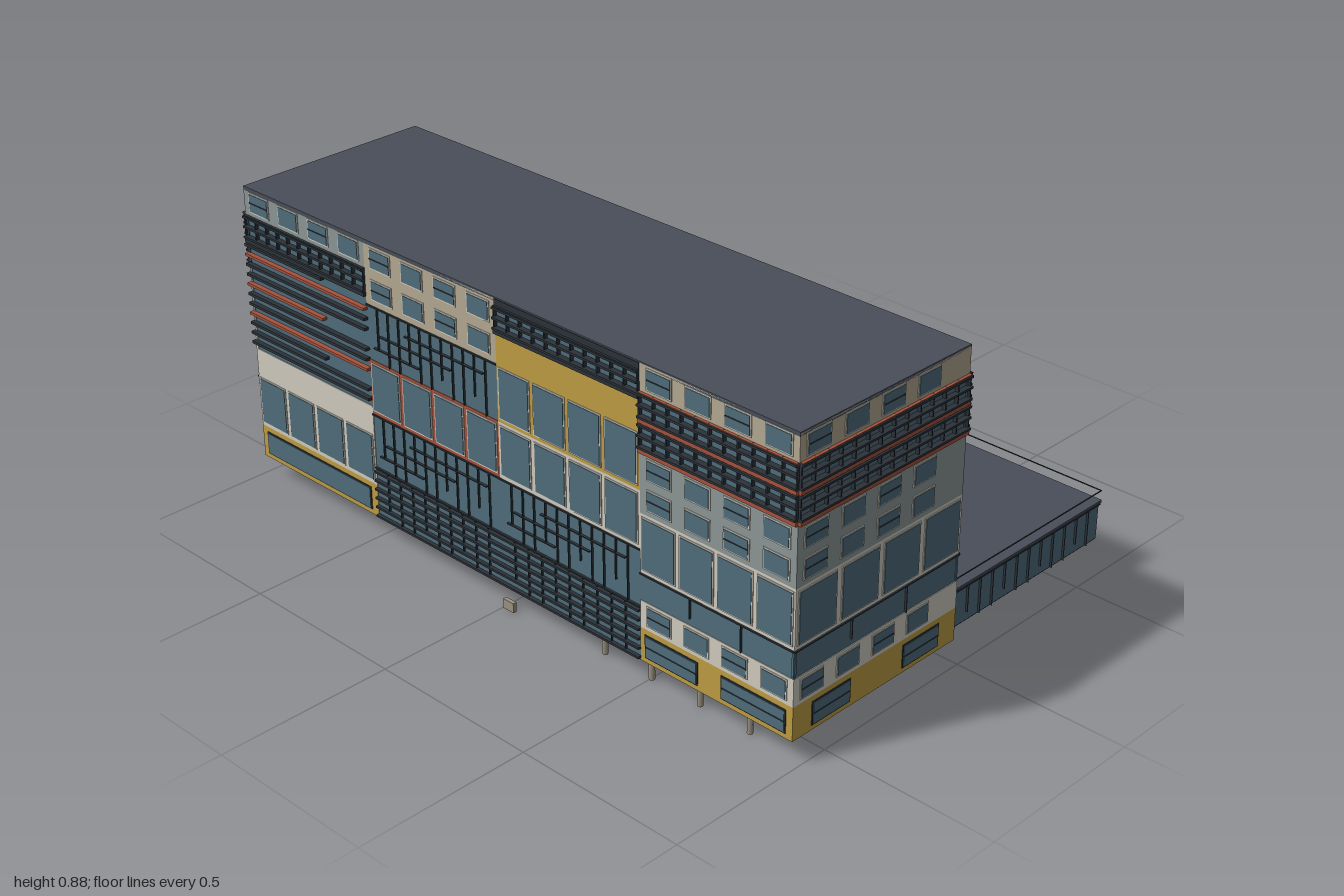
import * as THREE from 'three';

const C = {
  glass: 0x4f6d7c, cream: 0xd0ccc0, grey: 0x8d9896, tan: 0xb3a891, gold: 0xbd9c43, red: 0xa8523c,
  dark: 0x2b3238, roof: 0x494e59, blue: 0x35457a, post: 0x9a9282, under: 0x605c55, soffit: 0x2a3a42,
};
const mats = {};
const mat = (c) => (mats[c] ??= new THREE.MeshStandardMaterial({ color: C[c] }));

// Box given by its extents on each axis
function box(parent, name, color, x0, x1, y0, y1, z0, z1) {
  const m = new THREE.Mesh(new THREE.BoxGeometry(x1 - x0, y1 - y0, z1 - z0), mat(color));
  m.position.set((x0 + x1) / 2, (y0 + y1) / 2, (z0 + z1) / 2);
  m.name = name;
  parent.add(m);
  return m;
}

// Band builders: local x runs along the facade, z points outward, w is the bay width
const WALL = 0.008;
function framedWindow(g, x0, x1, y0, y1, trim, bar) {
  const t = 0.004;
  box(g, 'windowFrame', trim, x0 - t, x1 + t, y0 - t, y1 + t, 0, WALL + 0.002);
  box(g, 'windowPane', 'glass', x0, x1, y0, y1, 0, WALL + 0.0035);
  if (bar) box(g, 'windowBar', 'dark', x0, x1, (y0 + y1) / 2 - 0.0015, (y0 + y1) / 2 + 0.0015, 0, WALL + 0.005);
}

// Rows of four small windows
function small(g, w, y0, y1, wall, rows = 1) {
  box(g, 'wall', wall, -w / 2, w / 2, y0, y1, 0, WALL);
  const h = (y1 - y0) / rows, step = Math.min(w / 4, 0.128);
  for (let r = 0; r < rows; r++)
    for (let i = 0; i < 4; i++) {
      const x = -w / 2 + 0.063 + i * step, y = y0 + (r + 0.52) * h;
      framedWindow(g, x - 0.037, x + 0.037, y - 0.025, y + 0.025, 'cream', i % 2 === 0);
    }
}

// Four tall windows with a margin of wall above
function large(g, w, y0, y1, wall, head = 0.012, trim = wall) {
  box(g, 'wall', wall, -w / 2, w / 2, y0, y1, 0, WALL);
  const step = w / 4;
  for (let i = 0; i < 4; i++) {
    const x = -w / 2 + (i + 0.5) * step;
    framedWindow(g, x - step * 0.42, x + step * 0.42, y0 + 0.014, y1 - head, trim);
  }
}

// Wall with wide windows at given fractions of the width
function wide(g, w, y0, y1, wall, spans) {
  box(g, 'wall', wall, -w / 2, w / 2, y0, y1, 0, WALL);
  for (const [a, b] of spans)
    framedWindow(g, (a - 0.5) * w, (b - 0.5) * w, y0 + 0.018, y1 - 0.019, 'dark', spans.length > 1);
}

// Glazing with n vertical mullions
function curtain(g, w, y0, y1, n, rails = []) {
  box(g, 'glazing', 'glass', -w / 2, w / 2, y0, y1, 0, 0.006);
  for (let i = 1; i < n; i++) {
    const x = -w / 2 + (i * w) / n;
    const low = i % 3 === 1 ? (y1 - y0) * 0.25 : 0;
    box(g, 'mullion', 'dark', x - 0.0012, x + 0.0012, y0 + low, y1, 0, 0.012);
  }
  for (const [a, b, f] of rails) {
    const y = y0 + (y1 - y0) * f;
    box(g, 'transom', 'dark', (a - 0.5) * w, (b - 0.5) * w, y - 0.0015, y + 0.0015, 0, 0.013);
  }
  box(g, 'headRail', 'dark', -w / 2, w / 2, y1 - 0.004, y1, 0, 0.012);
}

// Glazing with dark balustrades and red slab edges
function balconies(g, w, y0, y1, floors, slab = 'red') {
  const h = (y1 - y0) / floors;
  for (let f = 0; f < floors; f++) {
    const y = y0 + f * h, n = Math.round(w / 0.045);
    box(g, 'glazing', 'glass', -w / 2, w / 2, y, y + h, 0, 0.004);
    box(g, 'slabEdge', slab, -w / 2, w / 2, y, y + 0.011, 0, 0.016);
    for (const k of [0.2, 0.58, 0.94])
      box(g, 'balconyRail', 'dark', -w / 2, w / 2, y + h * k - 0.003, y + h * k + 0.003, 0, 0.02);
    for (let i = 0; i <= n; i++) {
      const x = -w / 2 + 0.002 + (i * (w - 0.004)) / n;
      box(g, 'balconyPost', 'dark', x - 0.0018, x + 0.0018, y + 0.011, y + h, 0, 0.014);
    }
  }
  box(g, 'slabEdge', slab, -w / 2, w / 2, y1 - 0.006, y1, 0, 0.016);
}

// Glazing shaded by horizontal louvres, some of them red
function louvres(g, w, y0, y1, n) {
  box(g, 'glazing', 'glass', -w / 2, w / 2, y0, y1, 0, 0.006);
  for (let i = 0; i < n; i++) {
    const y = y0 + ((i + 0.8) * (y1 - y0)) / n, long = i % 4 !== 2;
    const red = i >= n * 0.2 && i % 3 === 0;
    box(g, 'louvre', red ? 'red' : 'dark', -w / 2, long ? w / 2 : w * 0.15, y - 0.004, y + 0.004, 0, 0.02);
  }
}

// Ground floor glazing with close horizontal rails
function railed(g, w, y0, y1) {
  curtain(g, w, y0, y1, 10);
  for (let i = 0; i < 6; i++) {
    const y = y0 + 0.008 + (i * (y1 - y0 - 0.02)) / 5;
    box(g, 'rail', 'dark', -w / 2, w / 2, y - 0.003, y + 0.003, 0, 0.017);
  }
}

// Bay designs
const cornerBay = (spans) => (g, w) => {
  wide(g, w, 0.065, 0.16, 'gold', spans);
  small(g, w, 0.16, 0.237, 'cream');
  curtain(g, w, 0.237, 0.315, 3);
  large(g, w, 0.315, 0.48, 'cream');
  small(g, w, 0.48, 0.645, 'grey', 2);
  balconies(g, w, 0.645, 0.805, 2);
  small(g, w, 0.805, 0.877, 'tan');
};
const lines = [[0.1, 0.65, 0.5], [0.3, 0.9, 0.72], [0.05, 0.4, 0.25]];
const louvreBay = (top, solid) => (g, w) => {
  wide(g, w, 0.065, 0.163, 'gold', [[0.05, 0.94]]);
  if (solid) large(g, w, 0.163, 0.4, 'cream', 0.09);
  else curtain(g, w, 0.163, 0.4, 9, lines);
  louvres(g, w, 0.4, 0.72, 11);
  balconies(g, w, 0.72, 0.8, 1, 'dark');
  small(g, w, 0.8, 0.877, top);
};
const tanBay = (g, w) => {
  railed(g, w, 0.065, 0.22);
  curtain(g, w, 0.22, 0.38, 12, lines);
  large(g, w, 0.38, 0.54, 'red', 0.012, 'cream');
  curtain(g, w, 0.54, 0.7, 12, lines);
  small(g, w, 0.7, 0.877, 'tan', 2);
};
const goldBay = (g, w) => {
  railed(g, w, 0.065, 0.22);
  curtain(g, w, 0.22, 0.38, 12, lines);
  large(g, w, 0.38, 0.54, 'cream');
  large(g, w, 0.54, 0.785, 'gold', 0.095, 'cream');
  balconies(g, w, 0.785, 0.86, 1, 'dark');
  box(g, 'fascia', 'dark', -w / 2, w / 2, 0.86, 0.877, 0, 0.01);
};
const blueBay = (g, w) => {
  railed(g, w, 0.065, 0.22);
  large(g, w, 0.22, 0.38, 'red', 0.012, 'cream');
  curtain(g, w, 0.38, 0.54, 12, lines);
  large(g, w, 0.54, 0.79, 'blue', 0.09, 'cream');
  small(g, w, 0.79, 0.877, 'tan');
};

export function createModel() {
  const model = new THREE.Group();
  model.name = 'building';
  const X = 0.985, B = 0.4925;

  // Main block
  box(model, 'core', 'glass', -X + 0.008, X - 0.008, 0.068, 0.872, 0.008, 0.592);
  box(model, 'roof', 'roof', -X, X, 0.87, 0.881, 0, 0.6);
  box(model, 'underside', 'under', -X + 0.001, X - 0.001, 0.064, 0.068, 0.001, 0.599);

  // Facades, each bay turned to face outward
  const bay = (name, design, w, x, z, turn) => {
    const g = new THREE.Group();
    g.name = name;
    g.position.set(x, 0, z);
    g.rotation.y = turn;
    design(g, w);
    model.add(g);
  };
  const corner = cornerBay([[0.04, 0.38], [0.55, 0.95]]);
  const end = cornerBay([[0.117, 0.333], [0.667, 0.883]]);
  [louvreBay('grey', true), tanBay, goldBay, corner].forEach((d, i) =>
    bay('frontBay', d, B, (i - 1.5) * B, 0.592, 0));
  [louvreBay('tan', false), tanBay, blueBay, corner].forEach((d, i) =>
    bay('backBay', d, B, (i - 1.5) * B, 0.008, Math.PI));
  bay('leftEnd', end, 0.6, X - 0.008, 0.3, Math.PI / 2);
  bay('rightEnd', end, 0.6, -X + 0.008, 0.3, -Math.PI / 2);

  // Low rear wing
  box(model, 'wingBody', 'glass', 0.012, 0.975, 0.097, 0.206, -0.6, 0);
  box(model, 'wingRoof', 'roof', 0.008, 0.983, 0.203, 0.211, -0.607, 0);
  box(model, 'wingUnderside', 'soffit', 0.011, 0.977, 0.094, 0.098, -0.602, 0);
  const wingGlazing = (g, w) => curtain(g, w, 0.097, 0.204, Math.round(w / 0.05));
  bay('wingBack', wingGlazing, 0.965, 0.4935, -0.597, Math.PI);
  bay('wingLeft', wingGlazing, 0.6, 0.973, -0.3, Math.PI / 2);
  bay('wingRight', wingGlazing, 0.6, 0.014, -0.3, -Math.PI / 2);
  box(model, 'wingWireBack', 'dark', 0.01, 0.982, 0.2375, 0.24, -0.606, -0.6035);
  box(model, 'wingWireSide', 'dark', 0.9795, 0.982, 0.2375, 0.24, -0.606, 0);

  // Columns under the wing and the main block
  const column = (x, z, h, r) => {
    const m = new THREE.Mesh(new THREE.CylinderGeometry(r, r, h, 8), mat('post'));
    m.position.set(x, h / 2, z);
    m.name = 'column';
    model.add(m);
  };
  for (let i = 0; i < 6; i++)
    for (const z of [-0.575, -0.03]) column(0.04 + i * 0.164, z, 0.096, 0.006);
  for (let i = 0; i < 4; i++)
    for (const z of [0.03, 0.572]) column(0.34 + i * 0.163, z, 0.066, 0.008);
  box(model, 'entranceStep', 'post', 0.002, 0.04, 0, 0.028, 0.595, 0.606);
  return model;
}
